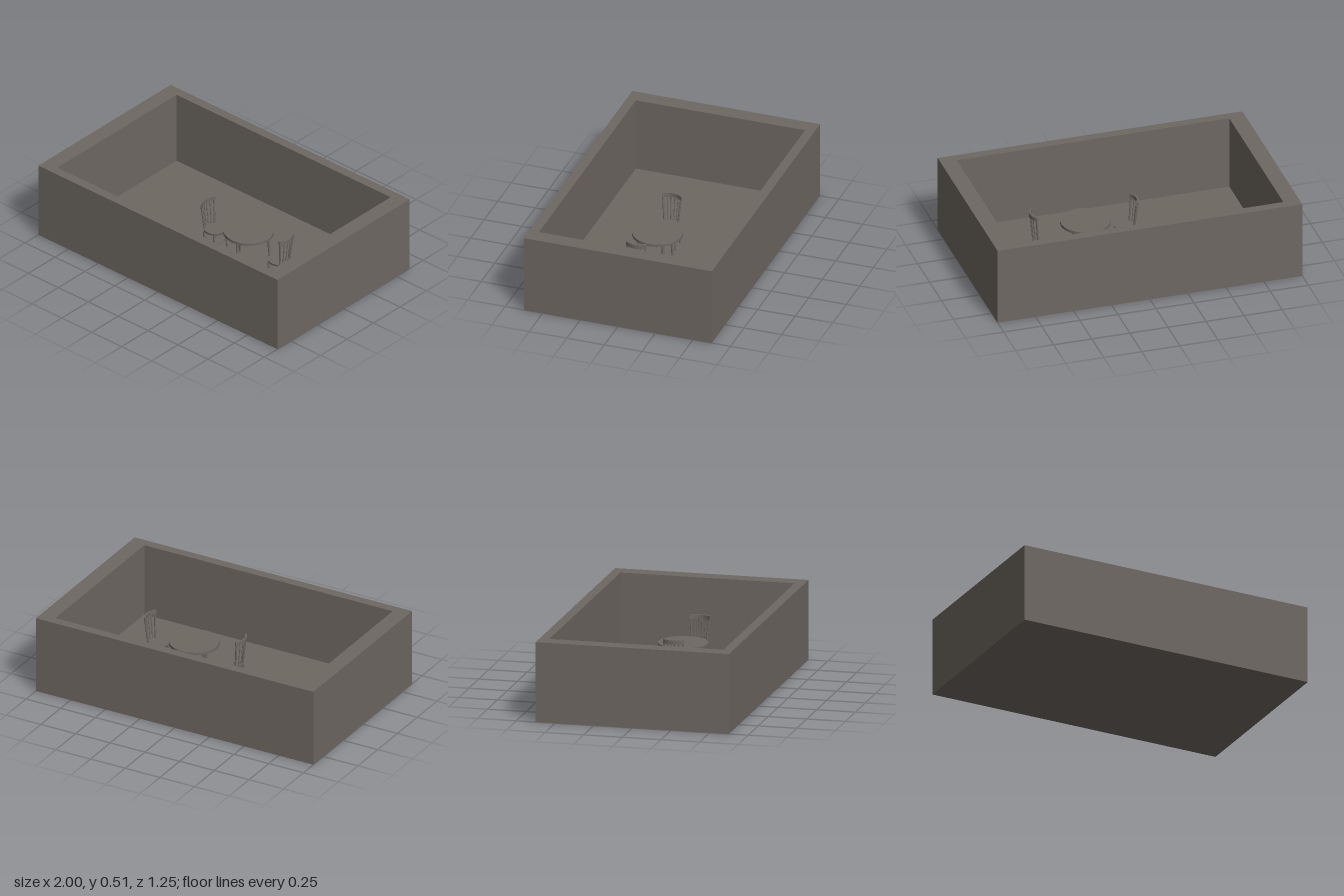
import * as THREE from 'three';

const stone = new THREE.MeshStandardMaterial({ color: 0x6e6862 });
stone.name = 'greyBrown';

const FLOOR = 0.025;

function add(parent, name, geometry, x = 0, y = 0, z = 0) {
  const mesh = new THREE.Mesh(geometry, stone);
  mesh.name = name;
  mesh.position.set(x, y, z);
  parent.add(mesh);
  return mesh;
}

// Round bar running from point a to point b
function bar(parent, name, a, b, rBottom, rTop = rBottom) {
  const from = new THREE.Vector3(...a);
  const dir = new THREE.Vector3(...b).sub(from);
  const mesh = add(parent, name, new THREE.CylinderGeometry(rTop, rBottom, dir.length(), 10));
  mesh.position.copy(from).addScaledVector(dir, 0.5);
  mesh.quaternion.setFromUnitVectors(new THREE.Vector3(0, 1, 0), dir.normalize());
}

// Extrudes a plan outline upwards from y = 0
function extrudeUp(shape, height) {
  return new THREE.ExtrudeGeometry(shape, { depth: height, bevelEnabled: false }).rotateX(-Math.PI / 2);
}

function rectangle(path, w, d) {
  path.moveTo(-w, -d);
  path.lineTo(w, -d);
  path.lineTo(w, d);
  path.lineTo(-w, d);
  path.closePath();
  return path;
}

// Open-topped room
function makeRoom() {
  const room = new THREE.Group();
  room.name = 'room';
  const plan = rectangle(new THREE.Shape(), 1, 0.625);
  plan.holes.push(rectangle(new THREE.Path(), 0.895, 0.563));
  add(room, 'walls', extrudeUp(plan, 0.515));
  add(room, 'floor', new THREE.BoxGeometry(1.79, FLOOR, 1.126), 0, FLOOR / 2, 0);
  return room;
}

// Round table on three tapered legs
function makeTable() {
  const table = new THREE.Group();
  table.name = 'table';
  add(table, 'tableTop', new THREE.CylinderGeometry(0.159, 0.159, 0.018, 48), 0, 0.229, 0);
  for (let i = 0; i < 3; i++) {
    const a = Math.PI / 2 - 0.1 + (i * Math.PI * 2) / 3;
    const c = Math.cos(a), s = Math.sin(a);
    bar(table, 'tableLeg', [c * 0.135, 0, s * 0.135], [c * 0.12, 0.222, s * 0.12], 0.006, 0.01);
  }
  return table;
}

// Chair with a round seat; its curved back stands on the -x side
function makeChair() {
  const chair = new THREE.Group();
  chair.name = 'chair';
  add(chair, 'seat', new THREE.CylinderGeometry(0.071, 0.068, 0.014, 32), 0, 0.143, 0);

  // Legs
  for (const side of [-1, 1]) {
    bar(chair, 'frontLeg', [0.048, 0, side * 0.062], [0.04, 0.142, side * 0.052], 0.005, 0.007);
    bar(chair, 'backLeg', [-0.058, 0, side * 0.054], [-0.044, 0.142, side * 0.048], 0.005, 0.007);
  }

  // Ring bracing the legs
  add(chair, 'legRing', new THREE.TorusGeometry(0.064, 0.003, 6, 32).rotateX(Math.PI / 2), 0, 0.075, 0);

  // Curved top rail of the back
  const railX = (t) => -0.087 + 0.025 * t * t;
  const rail = new THREE.Shape();
  const steps = 12;
  for (let i = 0; i <= steps; i++) {
    const t = (i / steps) * 2 - 1;
    rail[i ? 'lineTo' : 'moveTo'](railX(t), t * 0.067);
  }
  for (let i = steps; i >= 0; i--) {
    const t = (i / steps) * 2 - 1;
    rail.lineTo(railX(t) + 0.012, t * 0.064);
  }
  rail.closePath();
  add(chair, 'topRail', extrudeUp(rail, 0.028), 0, 0.305, 0);

  // Outer posts and slim spindles
  for (let i = 0; i < 6; i++) {
    const t = (i / 5) * 2 - 1;
    const outer = i === 0 || i === 5;
    const a = t * 0.8;
    bar(chair, outer ? 'backPost' : 'backSpindle',
      [-Math.cos(a) * 0.064, 0.143, Math.sin(a) * 0.064],
      [railX(t * 0.92) + 0.006, 0.31, t * 0.06], outer ? 0.006 : 0.0035);
  }
  return chair;
}

export function createModel() {
  const model = new THREE.Group();
  model.name = 'diningRoom';
  model.add(makeRoom());

  const table = makeTable();
  table.position.set(0.222, FLOOR, 0.016);
  model.add(table);

  // Two chairs facing each other across the table
  const rightChair = makeChair();
  rightChair.position.set(-0.043, FLOOR, 0.037);
  const leftChair = makeChair();
  leftChair.position.set(0.495, FLOOR, 0.037);
  leftChair.rotation.y = Math.PI;
  model.add(rightChair, leftChair);
  return model;
}
